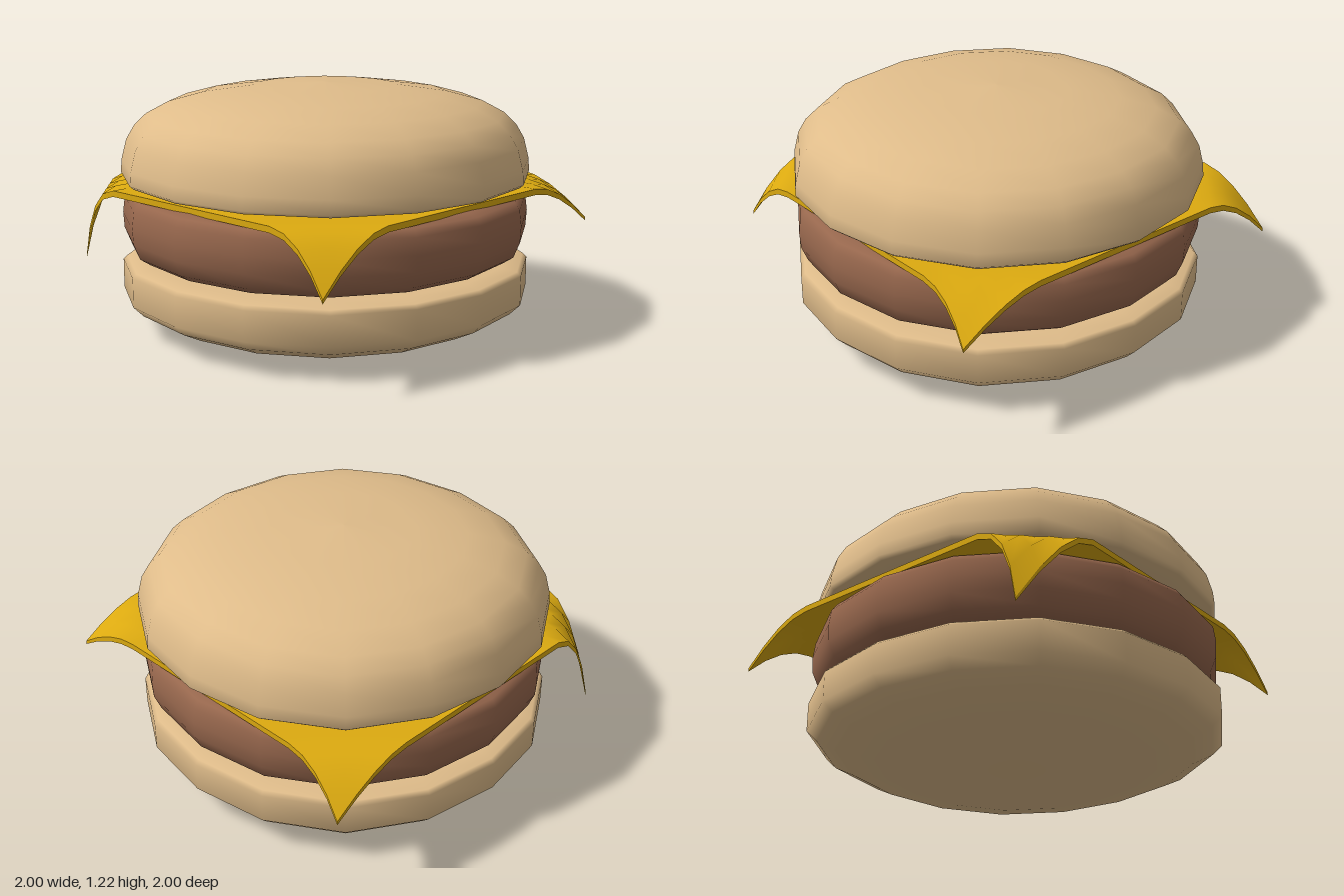
import * as THREE from 'three';

const bunMat = new THREE.MeshStandardMaterial({ name: 'toasted bun', color: 0xdfbc8a });
const pattyMat = new THREE.MeshStandardMaterial({ name: 'grilled patty', color: 0x97674d });
const cheeseMat = new THREE.MeshStandardMaterial({ name: 'yellow cheese', color: 0xdcaa10 });

// Sixteen-sided turned layer, slightly fuller along the diagonals
function layer(name, profile, material) {
  const geo = new THREE.LatheGeometry(profile.map(([r, y]) => new THREE.Vector2(r, y)), 16);
  const p = geo.attributes.position;
  for (let i = 0; i < p.count; i++) {
    const x = p.getX(i), z = p.getZ(i);
    const k = 1 + 0.025 * Math.sin(2 * Math.atan2(x, z)) ** 2;
    p.setXYZ(i, x * k, p.getY(i), z * k);
  }
  const mesh = new THREE.Mesh(geo, material);
  mesh.name = name;
  return mesh;
}

// Square slice whose four corners sag to their own tips [x, y, z]
function cheeseSlice() {
  const x0 = -0.93, x1 = 0.89, z0 = -0.92, z1 = 0.9, top = 0.715, thick = 0.03;
  const tips = {
    backRight: [-0.915, 0.49, -0.97], backLeft: [0.95, 0.51, -0.905],
    frontRight: [-0.96, 0.29, 0.78], frontLeft: [0.87, 0.44, 0.925],
  };
  const geo = new THREE.BoxGeometry(2, 1, 2, 20, 1, 20);
  const p = geo.attributes.position;
  for (let i = 0; i < p.count; i++) {
    const u = p.getX(i), v = p.getZ(i);
    const tip = tips[(v < 0 ? 'back' : 'front') + (u < 0 ? 'Right' : 'Left')];
    const t = Math.max(0, (Math.abs(u) + Math.abs(v) - 1.6) / 0.4);
    const w = t ** 1.9;
    const x = THREE.MathUtils.lerp(x0, x1, (u + 1) / 2) + w * (tip[0] - (u < 0 ? x0 : x1));
    const z = THREE.MathUtils.lerp(z0, z1, (v + 1) / 2) + w * (tip[2] - (v < 0 ? z0 : z1));
    const under = p.getY(i) < 0 ? thick * (1 - 0.4 * w) : 0;
    const y = top - under - w * (top - thick * 0.6 - tip[1]);
    p.setXYZ(i, x, y, z);
  }
  geo.computeVertexNormals();
  const mesh = new THREE.Mesh(geo, cheeseMat);
  mesh.name = 'cheeseSlice';
  return mesh;
}

export function createModel() {
  const group = new THREE.Group();
  group.name = 'cheeseburger';
  group.add(
    layer('bottomBun', [
      [0, 0], [0.4, 0.01], [0.67, 0.032], [0.85, 0.07], [0.95, 0.12], [1, 0.17],
      [1, 0.315], [0.98, 0.335], [0.9, 0.347], [0.72, 0.354], [0, 0.354],
    ], bunMat),
    layer('patty', [
      [0, 0.354], [0.72, 0.356], [0.91, 0.372], [0.96, 0.405], [0.99, 0.48],
      [0.995, 0.56], [0.985, 0.64], [0.96, 0.675], [0.9, 0.69], [0.7, 0.697], [0, 0.697],
    ], pattyMat),
    cheeseSlice(),
    layer('topBun', [
      [0, 0.725], [0.72, 0.727], [0.92, 0.738], [0.98, 0.748], [1, 0.765], [0.995, 0.83],
      [0.97, 0.93], [0.93, 1.0], [0.87, 1.06], [0.76, 1.12], [0.59, 1.167], [0.35, 1.2], [0, 1.215],
    ], bunMat),
  );
  return group;
}
